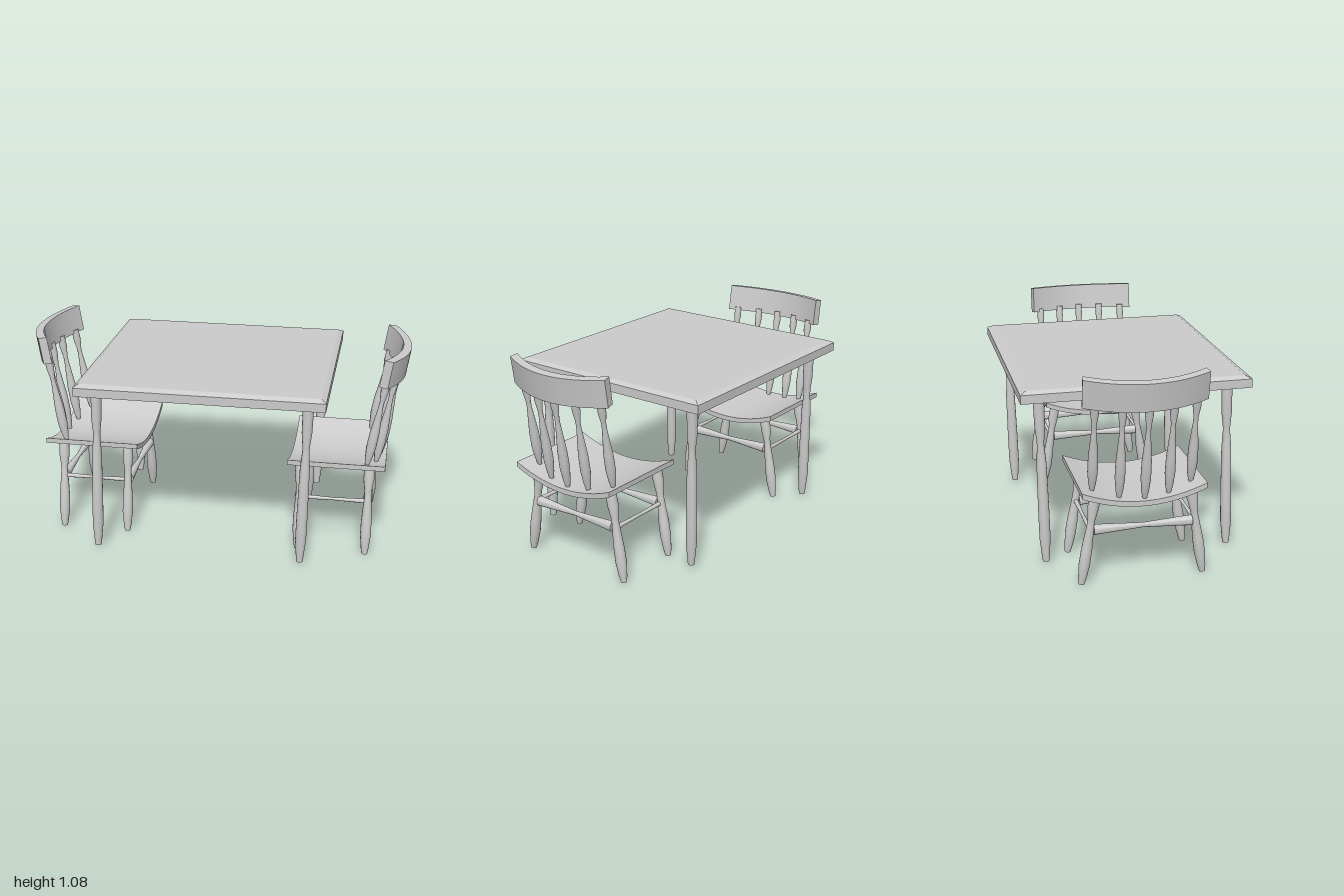
import * as THREE from 'three';
import { toCreasedNormals } from 'three/addons/utils/BufferGeometryUtils.js';

const material = new THREE.MeshStandardMaterial({ color: 0xcccccc });

function part(name, geometry) {
  const mesh = new THREE.Mesh(geometry, material);
  mesh.name = name;
  return mesh;
}

// Turned piece between two points; profile rows are [radius, fraction of length]
function turned(name, profile, from, to) {
  const a = new THREE.Vector3(...from);
  const dir = new THREE.Vector3(...to).sub(a);
  const length = dir.length();
  const points = [[0, 0], ...profile, [0, 1]].map(([r, t]) => new THREE.Vector2(r, t * length));
  const mesh = part(name, toCreasedNormals(new THREE.LatheGeometry(points, 16), 0.7));
  mesh.position.copy(a);
  mesh.quaternion.setFromUnitVectors(new THREE.Vector3(0, 1, 0), dir.normalize());
  return mesh;
}

// Move every vertex of a geometry by a rule
function reshape(geometry, rule) {
  const pos = geometry.attributes.position;
  const v = new THREE.Vector3();
  for (let i = 0; i < pos.count; i++) {
    rule(v.fromBufferAttribute(pos, i));
    pos.setXYZ(i, v.x, v.y, v.z);
  }
  geometry.computeVertexNormals();
  return geometry;
}

const tableLeg = [[0.017, 0], [0.028, 0.14], [0.028, 0.3], [0.025, 0.6], [0.018, 0.71],
  [0.019, 0.74], [0.026, 0.82], [0.028, 1]];
const chairLeg = [[0.015, 0], [0.02, 0.06], [0.028, 0.22], [0.027, 0.38], [0.018, 0.66],
  [0.019, 0.72], [0.028, 0.86], [0.025, 1]];
const backSpindle = [[0.01, 0], [0.018, 0.08], [0.025, 0.22], [0.024, 0.4], [0.012, 0.7],
  [0.012, 0.76], [0.02, 0.88], [0.019, 1]];
const crossRail = [[0.026, 0], [0.019, 0.25], [0.012, 0.5], [0.019, 0.75], [0.026, 1]];
const sideRail = [[0.012, 0], [0.008, 0.5], [0.012, 1]];

function createTable() {
  const table = new THREE.Group();
  table.name = 'table';
  const slab = part('tableTop', new THREE.BoxGeometry(1.255, 0.045, 1.15));
  slab.position.y = 0.9075;
  // Chamfered upper edge
  const bevel = part('tableTopBevel', reshape(new THREE.BoxGeometry(1.255, 0.014, 1.15), (v) => {
    if (v.y > 0) { v.x -= 0.025 * Math.sign(v.x); v.z -= 0.03 * Math.sign(v.z); }
  }));
  bevel.position.y = 0.937;
  table.add(slab, bevel);
  for (const x of [-0.535, 0.535]) {
    for (const z of [-0.475, 0.475]) {
      table.add(turned('tableLeg', tableLeg, [x - 0.02, 0.02, z + 0.018], [x, 0.89, z]));
    }
  }
  table.position.x = -0.018;
  return table;
}

// Chair on the +x side, its back toward +x
function createChair() {
  const chair = new THREE.Group();
  chair.name = 'chair';

  // Seat dished across its width
  const seat = part('seat', reshape(new THREE.BoxGeometry(0.5, 0.027, 0.61, 1, 1, 20), (v) => {
    v.y += 0.437 + 0.064 * (v.z / 0.305) ** 2;
  }));
  seat.position.x = 0.653;
  chair.add(seat);

  // Legs splayed sideways, joined by rails
  const legX = [0.467, 0.822];
  for (const x of legX) {
    for (const s of [-1, 1]) {
      chair.add(turned('chairLeg', chairLeg, [x, 0.004, s * 0.307 - 0.01], [x, 0.475, s * 0.235 - 0.01]));
    }
    chair.add(turned('crossRail', crossRail, [x, 0.288, -0.255], [x, 0.288, 0.235]));
  }
  for (const z of [-0.272, 0.252]) {
    chair.add(turned('sideRail', sideRail, [legX[0], 0.288, z], [legX[1], 0.288, z]));
  }

  // Leaning spindles set along an arc
  for (let i = -2; i <= 2; i++) {
    const z = i * 0.122;
    const bend = 0.058 * (i / 2) ** 2;
    const foot = 0.445 + 0.064 * (z / 0.305) ** 2;
    chair.add(turned('backSpindle', backSpindle, [0.865 - bend, foot, z - 0.005], [0.942 - bend, 0.95, z - 0.005]));
  }

  // Curved top rail, tilted back with the spindles
  chair.add(part('crestRail', reshape(new THREE.BoxGeometry(0.042, 0.14, 0.594, 1, 1, 24), (v) => {
    const u = v.z / 0.297;
    const slope = -0.5 * u;
    const x = v.x + 0.975 - 0.085 * u * u;
    v.z -= v.x * slope * 0.4;
    const y = v.y;
    v.x = x + 0.15 * (y - 0.07);
    v.y = 1.008 + y - 0.14 * (x - 0.87);
  })));

  chair.position.z = 0.03;
  return chair;
}

export function createModel() {
  const model = new THREE.Group();
  model.name = 'diningSet';
  model.add(createTable());
  for (const [name, angle] of [['leftChair', 0], ['rightChair', Math.PI]]) {
    const side = new THREE.Group();
    side.name = name;
    side.rotation.y = angle;
    side.add(createChair());
    model.add(side);
  }
  return model;
}
